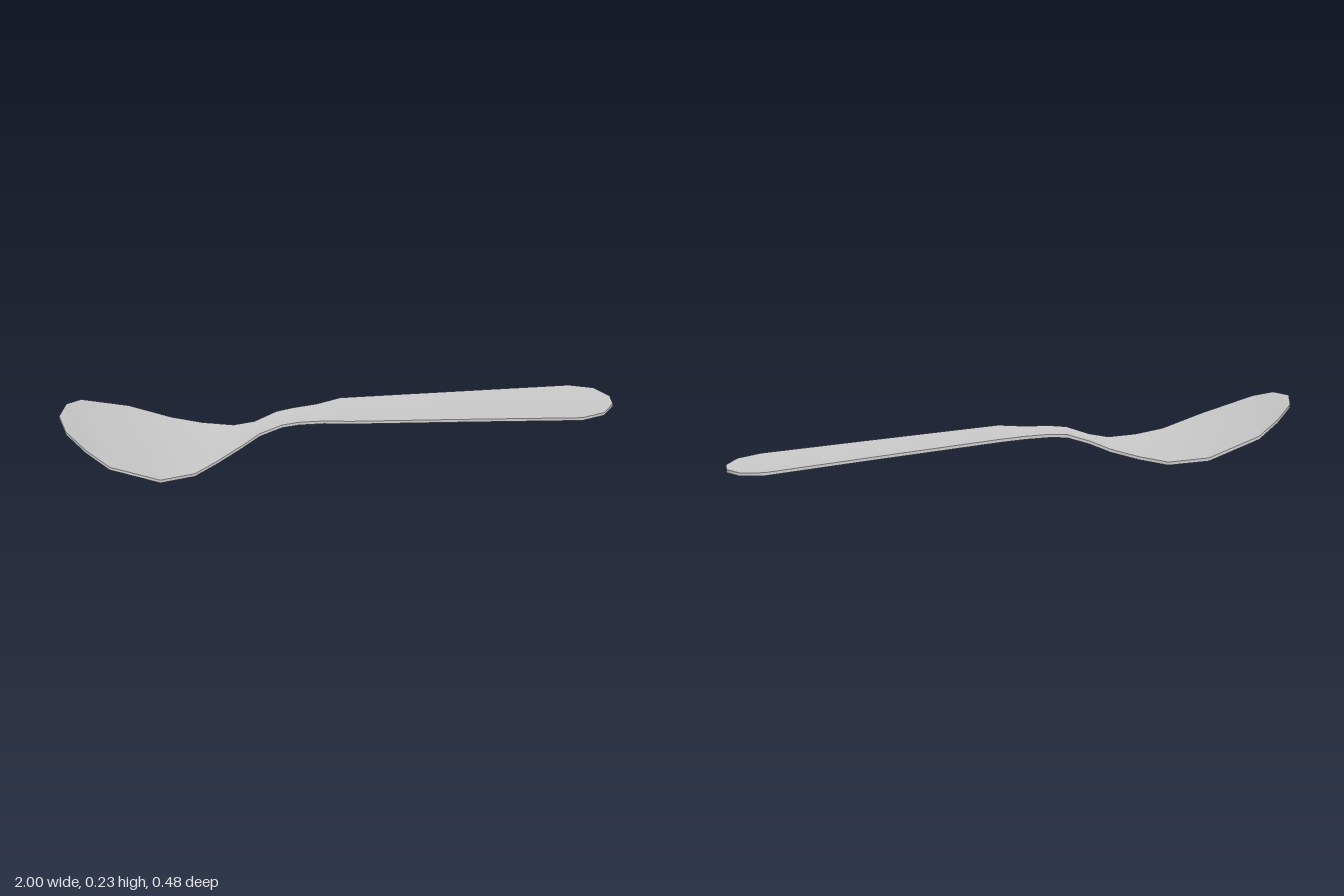
import * as THREE from 'three';

// Stations along the spoon: [x, mid height, half width]
const STATIONS = [
  [-1, 0.222, 0.05], [-0.95, 0.2, 0.15], [-0.88, 0.163, 0.218], [-0.7, 0.093, 0.24],
  [-0.56, 0.06, 0.182], [-0.46, 0.061, 0.122], [-0.36, 0.072, 0.066], [-0.29, 0.094, 0.04],
  [-0.21, 0.121, 0.044], [-0.15, 0.125, 0.047], [-0.06, 0.122, 0.055], [0.03, 0.12, 0.076],
  [0.45, 0.071, 0.09], [0.87, 0.021, 0.105], [0.955, 0.0125, 0.08], [1, 0.0075, 0.025],
];
const ACROSS = [-1, -0.5, 0, 0.5, 1];
const HALF_THICKNESS = 0.006;

// Point on the upper (side = 1) or lower (side = -1) face
function pointAt([x, y, w], t, side) {
  const dish = 0.0015 * (t * t - 1);
  return [x, y + dish + side * HALF_THICKNESS, t * w];
}

// Quad sheet from rows of points, with its own smooth normals
function sheet(rows, flip) {
  const n = rows[0].length;
  const index = [];
  for (let i = 0; i < rows.length - 1; i++) {
    for (let j = 0; j < n - 1; j++) {
      const a = i * n + j, b = a + 1, c = a + n, d = c + 1;
      index.push(...(flip ? [a, c, b, b, c, d] : [a, b, c, b, d, c]));
    }
  }
  const g = new THREE.BufferGeometry();
  g.setAttribute('position', new THREE.Float32BufferAttribute(rows.flat(2), 3));
  g.setIndex(index);
  g.computeVertexNormals();
  return g;
}

export function createModel() {
  const group = new THREE.Group();
  group.name = 'spoon';
  const material = new THREE.MeshStandardMaterial({ color: 0xcccccc });
  const add = (name, geometry) => {
    const mesh = new THREE.Mesh(geometry, material);
    mesh.name = name;
    group.add(mesh);
  };

  // Upper and lower faces of bowl, neck and handle
  const face = (side) => STATIONS.map((s) => ACROSS.map((t) => pointAt(s, t, side)));
  add('upperFace', sheet(face(1), false));
  add('lowerFace', sheet(face(-1), true));

  // Thin rim running once around the outline
  const outline = [
    ...STATIONS.map((s) => [s, 1]),
    ...[...STATIONS].reverse().map((s) => [s, -1]),
    [STATIONS[0], 1],
  ];
  add('rim', sheet(outline.map(([s, t]) => [pointAt(s, t, 1), pointAt(s, t, -1)]), false));

  return group;
}
